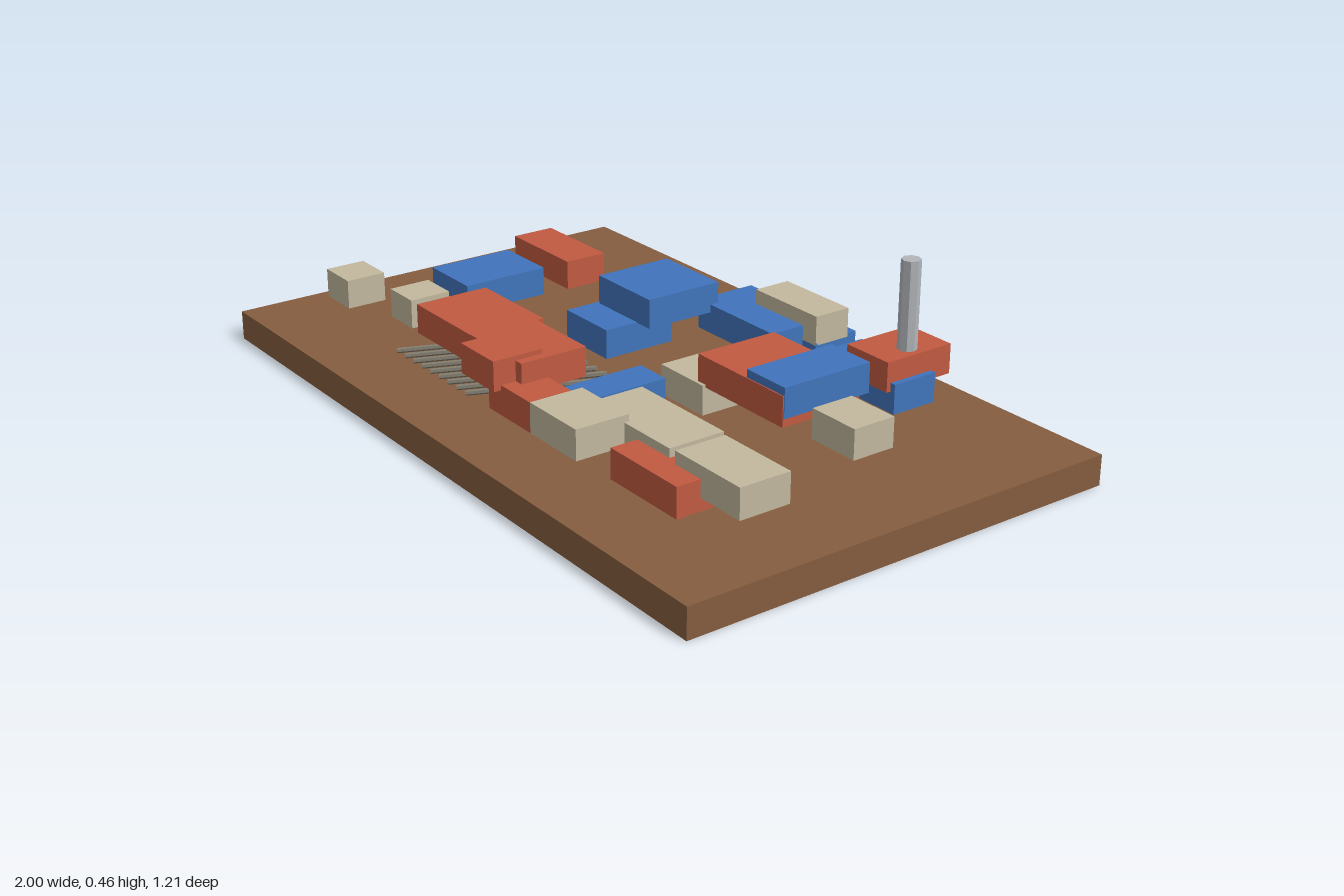
import * as THREE from 'three';

const mat = (name, color) => Object.assign(new THREE.MeshStandardMaterial({ color }), { name });

export function createModel() {
  const group = new THREE.Group();
  const wood = mat('brown wood', 0x855d3f);
  const red = mat('brick red', 0xc15a41);
  const blue = mat('blue', 0x4074bc);
  const cream = mat('cream', 0xc3b89f);
  const metal = mat('light grey metal', 0xb2b6ba);
  const rodGrey = mat('rod grey', 0x858072);

  // Box given by its limits on x and z, its underside and its height
  const block = (name, material, [x0, x1, z0, z1, y], h = 0.078) => {
    const mesh = new THREE.Mesh(new THREE.BoxGeometry(x1 - x0, h, z1 - z0), material);
    mesh.position.set((x0 + x1) / 2, y + h / 2, (z0 + z1) / 2);
    mesh.name = name;
    group.add(mesh);
  };

  block('baseBoard', wood, [-1, 1, -0.603, 0.603, 0], 0.079);

  // Scattered blocks: x0, x1, z0, z1, underside
  const redBlocks = [
    [-0.73, -0.47, -0.23, -0.11, 0.148],
    [0.42, 0.565, -0.53, -0.325, 0.152],
    [0.28, 0.595, -0.21, 0.023, 0.165],
    [0.46, 0.705, 0.285, 0.407, 0.092],
    [0, 0.27, 0.32, 0.437, 0.109],
    [-0.15, 0.08, 0.21, 0.395, 0.162],
    [-0.42, -0.15, 0.18, 0.386, 0.154],
    [-0.09, 0.055, 0.32, 0.457, 0.174],
  ];
  const blueBlocks = [
    [-0.76, -0.58, -0.105, 0.14, 0.1],
    [-0.25, -0.03, -0.28, -0.06, 0.186],
    [-0.26, -0.083, -0.17, 0.035, 0.109],
    [-0.08, 0.22, -0.43, -0.256, 0.129],
    [0.04, 0.27, -0.487, -0.355, 0.1],
    [0.315, 0.58, -0.468, -0.337, 0.097],
    [0.46, 0.597, -0.238, 0.02, 0.186],
    [0.14, 0.24, 0.09, 0.32, 0.104],
  ];
  const creamBlocks = [
    [-0.84, -0.725, 0.31, 0.42, 0.132],
    [-0.648, -0.54, 0.22, 0.335, 0.115],
    [0.032, 0.27, -0.46, -0.355, 0.168],
    [0.605, 0.75, -0.178, -0.058, 0.119],
    [0.145, 0.31, -0.107, 0.032, 0.094],
    [0.268, 0.58, 0.18, 0.333, 0.115],
    [0.613, 0.84, 0.203, 0.342, 0.125],
    [0.224, 0.41, 0.32, 0.466, 0.133],
  ];
  redBlocks.forEach((b, i) => block(`redBlock${i + 1}`, red, b));
  blueBlocks.forEach((b, i) => block(`blueBlock${i + 1}`, blue, b));
  creamBlocks.forEach((b, i) => block(`creamBlock${i + 1}`, cream, b));

  // Cylinder between two points
  const rod = (name, material, a, b, r, sides) => {
    const dir = b.clone().sub(a);
    const geo = new THREE.CylinderGeometry(r, r, dir.length(), sides).toNonIndexed();
    geo.computeVertexNormals();
    const mesh = new THREE.Mesh(geo, material);
    mesh.position.copy(a).add(b).multiplyScalar(0.5);
    mesh.quaternion.setFromUnitVectors(new THREE.Vector3(0, 1, 0), dir.normalize());
    mesh.name = name;
    group.add(mesh);
  };

  // Upright post
  rod('post', metal, new THREE.Vector3(0.525, 0.095, -0.423), new THREE.Vector3(0.525, 0.46, -0.423), 0.025, 8);

  // Row of slanted parallel rods
  for (let i = 0; i < 9; i++) {
    const x = -0.475 + i * 0.042;
    rod(`slantedRod${i + 1}`, rodGrey, new THREE.Vector3(x, 0.094, 0.418), new THREE.Vector3(x + 0.265, 0.156, 0.153), 0.007, 6);
  }
  return group;
}
